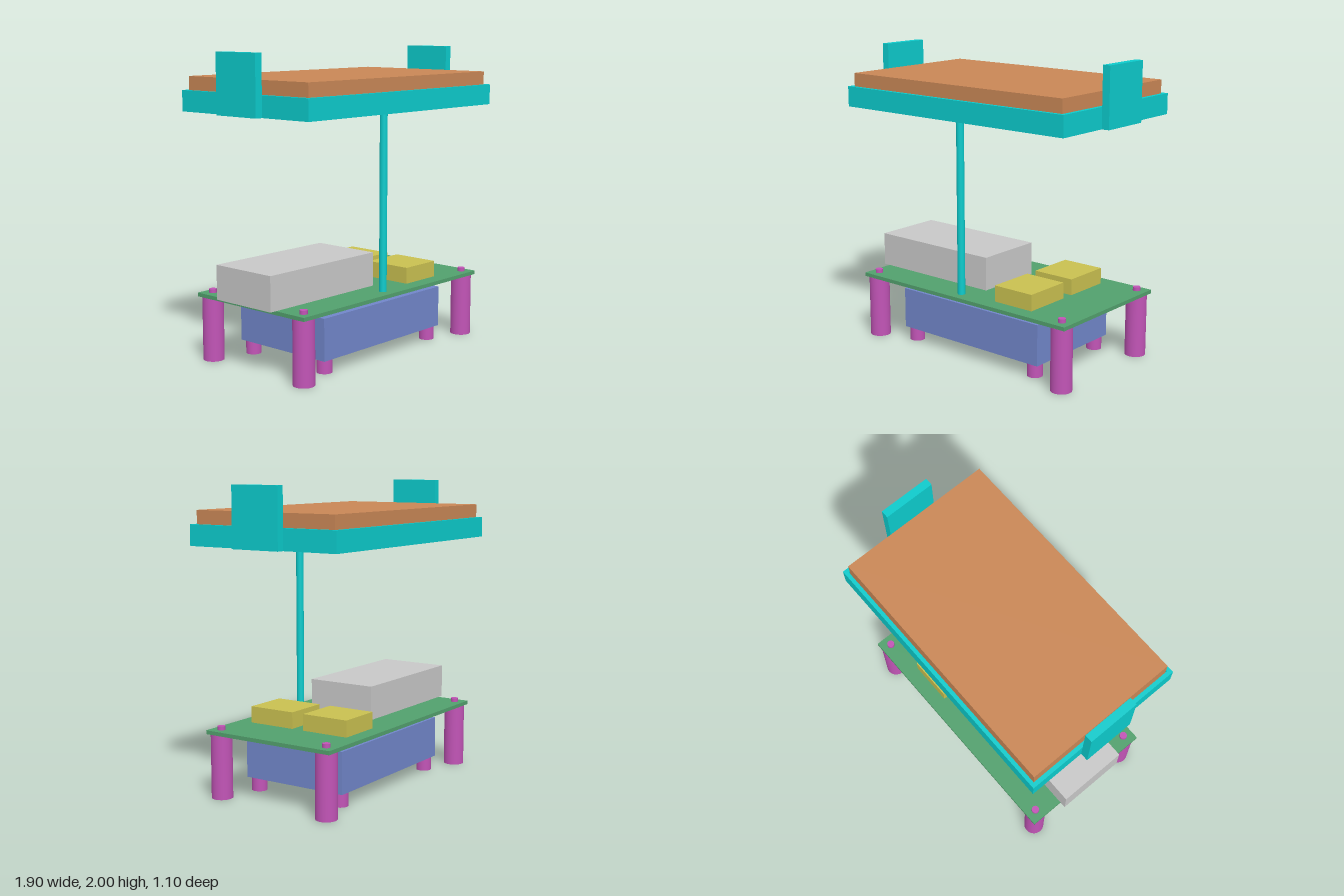
import * as THREE from 'three';

const material = (name, color) => {
  const m = new THREE.MeshStandardMaterial({ color });
  m.name = name;
  return m;
};

export function createModel() {
  const model = new THREE.Group();
  model.name = 'deviceStack';

  const cyan = material('cyan', 0x0ccbcc);
  const copper = material('copper', 0xc98756);
  const magenta = material('magenta', 0xc154b6);
  const green = material('green', 0x52a06d);
  const blue = material('blue', 0x7186ca);
  const yellow = material('yellow', 0xc9c050);
  const silver = material('silver', 0xc8c8c8);

  // Box from its minimum and maximum corners
  const box = (name, mat, [x0, y0, z0], [x1, y1, z1], parent = model) => {
    const mesh = new THREE.Mesh(new THREE.BoxGeometry(x1 - x0, y1 - y0, z1 - z0), mat);
    mesh.position.set((x0 + x1) / 2, (y0 + y1) / 2, (z0 + z1) / 2);
    mesh.name = name;
    parent.add(mesh);
  };

  // Upright cylinder between two heights
  const post = (name, mat, r, x, z, y0, y1) => {
    const mesh = new THREE.Mesh(new THREE.CylinderGeometry(r, r, y1 - y0, 32), mat);
    mesh.position.set(x, (y0 + y1) / 2, z);
    mesh.name = name;
    model.add(mesh);
  };

  // Battery pack, circuit board and the blocks on it
  box('batteryPack', blue, [-0.58, 0.09, -0.375], [0.58, 0.365, 0.375]);
  box('circuitBoard', green, [-0.865, 0.42, -0.475], [0.865, 0.445, 0.475]);
  box('largeModule', silver, [-0.91, 0.445, -0.24], [0.04, 0.67, 0.24]);
  box('frontConnector', yellow, [0.23, 0.445, 0.043], [0.53, 0.553, 0.373]);
  box('backConnector', yellow, [0.23, 0.445, -0.373], [0.53, 0.553, -0.043]);

  // Board legs with screw heads, and short battery feet, at the four corners
  for (const sx of [-1, 1]) {
    for (const sz of [-1, 1]) {
      post('leg', magenta, 0.069, sx * 0.796, sz * 0.407, 0, 0.42);
      post('screw', magenta, 0.025, sx * 0.796, sz * 0.407, 0.42, 0.47);
      post('batteryFoot', magenta, 0.051, sx * 0.52, sz * 0.32, 0, 0.09);
    }
  }

  // Thin support pole near the front edge
  post('pole', cyan, 0.025, -0.04, 0.393, 0.445, 1.615);

  // Open tray: floor, rim walls and side tabs
  const tray = new THREE.Group();
  tray.name = 'tray';
  model.add(tray);
  box('trayFloor', cyan, [-0.897, 1.615, -0.55], [0.897, 1.645, 0.55], tray);
  const rim = new THREE.Shape([[-0.897, -0.55], [0.897, -0.55], [0.897, 0.55], [-0.897, 0.55]]
    .map(([x, y]) => new THREE.Vector2(x, y)));
  rim.holes.push(new THREE.Path([[-0.87, -0.525], [-0.87, 0.525], [0.87, 0.525], [0.87, -0.525]]
    .map(([x, y]) => new THREE.Vector2(x, y))));
  const rimGeometry = new THREE.ExtrudeGeometry(rim, { depth: 0.105, bevelEnabled: false });
  rimGeometry.rotateX(-Math.PI / 2);
  const rimMesh = new THREE.Mesh(rimGeometry, cyan);
  rimMesh.position.y = 1.645;
  rimMesh.name = 'trayRim';
  tray.add(rimMesh);
  box('leftTab', cyan, [0.897, 1.615, -0.172], [0.949, 2, 0.172], tray);
  box('rightTab', cyan, [-0.949, 1.615, -0.172], [-0.897, 2, 0.172], tray);

  // Slab resting in the tray
  box('screenSlab', copper, [-0.865, 1.645, -0.52], [0.865, 1.838, 0.52]);

  return model;
}
